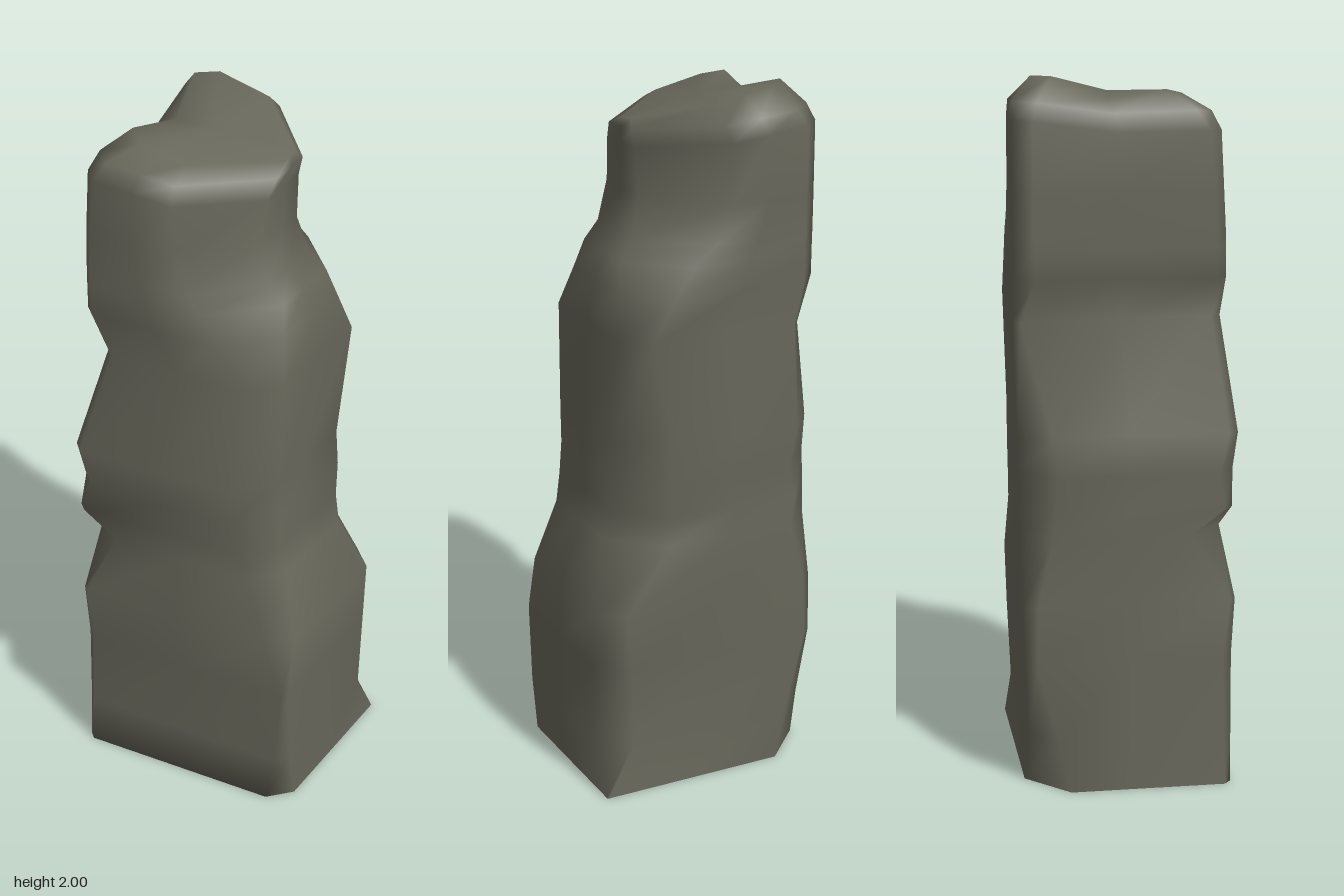
import * as THREE from 'three';

// Height, left x, right x, back z, front z, then the corner cuts:
// front left, front right, back right, back left
const levels = [
  [0, -0.323, 0.34, -0.278, 0.297, 0.02, 0.06, 0.004, 0.12],
  [0.15, -0.32, 0.34, -0.27, 0.298, 0.025, 0.03, 0.09, 0.08],
  [0.38, -0.32, 0.34, -0.282, 0.298, 0.03, 0.015, 0.08, 0.03],
  [0.55, -0.32, 0.335, -0.288, 0.303, 0.015, 0.06, 0.06, 0.04],
  [0.74, -0.318, 0.282, -0.288, 0.276, 0.1, 0.08, 0.14, 0.08],
  [0.82, -0.337, 0.264, -0.29, 0.29, 0.025, 0.08, 0.13, 0.09],
  [0.92, -0.325, 0.262, -0.292, 0.298, 0.045, 0.1, 0.12, 0.1],
  [1.03, -0.338, 0.26, -0.294, 0.305, 0.03, 0.1, 0.13, 0.09],
  [1.34, -0.247, 0.266, -0.302, 0.272, 0.03, 0.08, 0.07, 0.02],
  [1.46, -0.305, 0.237, -0.302, 0.275, 0.03, 0.13, 0.11, 0.05],
  [1.54, -0.306, 0.22, -0.302, 0.274, 0.03, 0.16, 0.14, 0.05],
  [1.59, -0.307, 0.178, -0.302, 0.272, 0.03, 0.16, 0.16, 0.05],
  [1.7, -0.308, 0.146, -0.302, 0.266, 0.03, 0.17, 0.18, 0.05],
  [1.85, -0.308, 0.156, -0.303, 0.26, 0.04, 0.19, 0.19, 0.05],
  [1.9, -0.288, 0.165, -0.298, 0.24, 0.05, 0.2, 0.18, 0.06],
  [1.94, -0.23, 0.155, -0.245, 0.17, 0.05, 0.19, 0.17, 0.05],
];

// Twelve points round one level: two at each corner, one on each side
function outline([y, l, r, b, f, fl, fr, br, bl], row) {
  const flat = row < 2 || row > 12;
  const side = (k) => (flat ? 0 : 0.008 * Math.sin(row * 2.1 + k * 1.7));
  const mx = (l + fl + r - fr) / 2, mz = (b + f) / 2;
  // A shallow groove runs down the upper left side
  const groove = y > 1.4 ? 0.035 : 0;
  const lBack = Math.max(l, -0.322);
  const points = [
    [l + fl, f], [mx, f + side(0)], [r - fr, f],
    [r, f - fr], [r + side(1), (f - fr + b + br) / 2], [r, b + br],
    [r - br, b], [(l + bl + r - br) / 2, b + side(2)], [l + bl, b],
    [lBack, b + bl], [lBack + groove, mz], [l, f - fl],
  ];
  return points.map(([x, z], i) => {
    // The front and back faces draw slightly together towards the right
    let zz = z;
    if (z > 0.1) zz -= 0.05 * (x + 0.28);
    if (z < -0.1) zz += 0.03 * y * Math.max(0, x + 0.2);
    // The crown slopes down to the right and front, with a dip at the groove
    let tilt = 0;
    if (y > 1.8) tilt = -0.2 * (x + 0.05) - 0.13 * zz - (i === 10 ? 0.04 : 0);
    return [x, y + tilt * (y > 1.92 ? 1 : 0.5), zz];
  });
}

function pillarGeometry() {
  const n = 12;
  const position = levels.flatMap((level, row) => outline(level, row).flat());
  const index = [];
  for (let row = 0; row < levels.length - 1; row++) {
    for (let i = 0; i < n; i++) {
      const a = row * n + i, b = row * n + (i + 1) % n;
      index.push(a, b, b + n, a, b + n, a + n);
    }
  }
  // Crown
  const last = (levels.length - 1) * n;
  const top = position.length / 3;
  position.push(-0.07, 1.94, -0.02);
  for (let i = 0; i < n; i++) index.push(top, last + i, last + (i + 1) % n);

  // Base: blends into the front edge, sharp on the other edges
  const base = top + 1;
  position.push(0, 0, 0);
  const rim = outline(levels[0], 0).map((p, i) => {
    if (i < 3) return i;
    position.push(...p);
    return position.length / 3 - 1;
  });
  for (let i = 0; i < n; i++) index.push(base, rim[(i + 1) % n], rim[i]);

  const geometry = new THREE.BufferGeometry();
  geometry.setAttribute('position', new THREE.Float32BufferAttribute(position, 3));
  geometry.setIndex(index);
  geometry.computeVertexNormals();
  return geometry;
}

export function createModel() {
  const stone = new THREE.MeshStandardMaterial({ color: 0x68675b });
  stone.name = 'grey stone';
  const pillar = new THREE.Mesh(pillarGeometry(), stone);
  pillar.name = 'rockPillar';
  const group = new THREE.Group();
  group.name = 'standingStone';
  group.add(pillar);
  return group;
}
